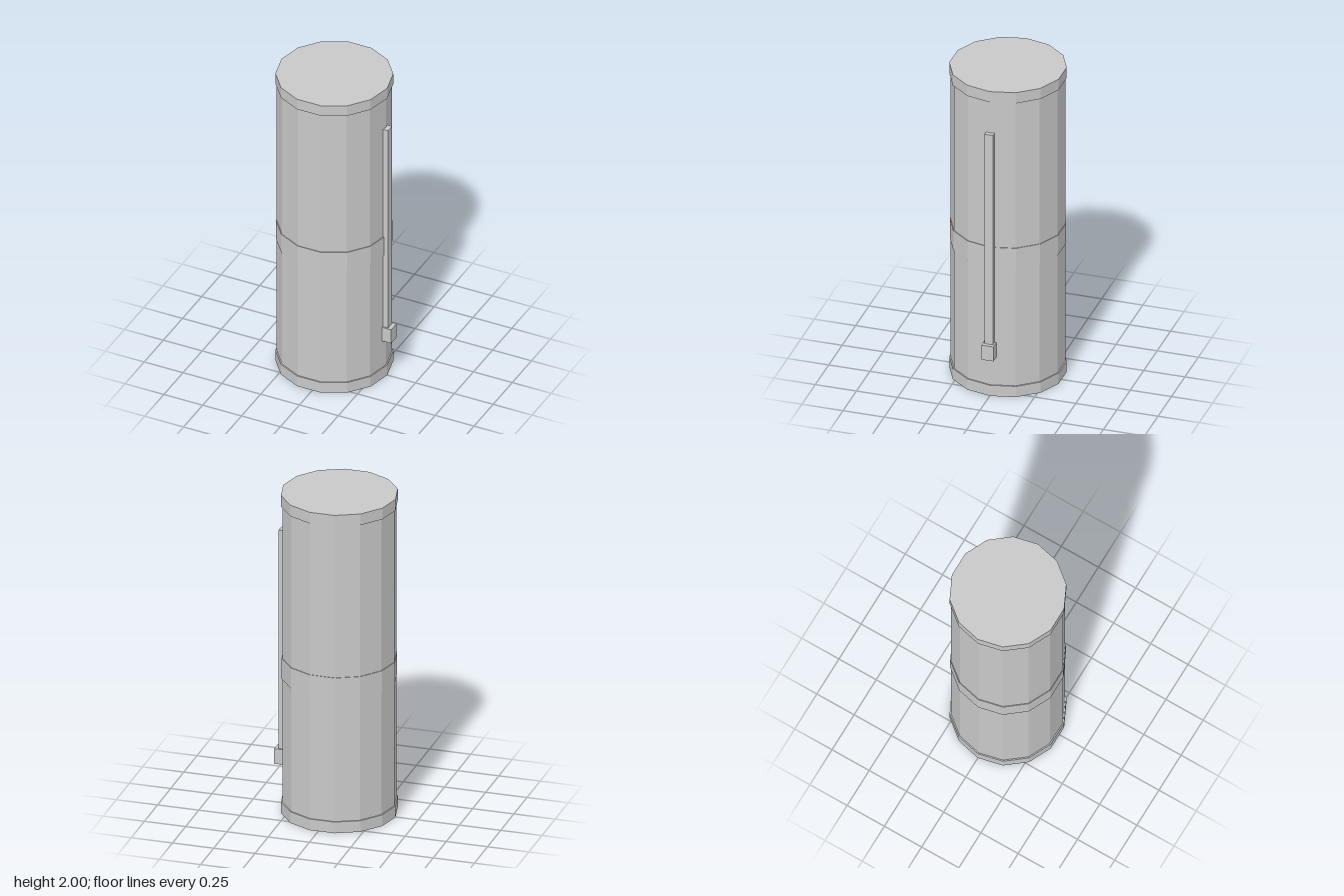
import * as THREE from 'three';

const SIDES = 14;
const CENTER_X = -0.0225;

export function createModel() {
  const group = new THREE.Group();
  const grey = new THREE.MeshStandardMaterial({ color: 0xc8c8c8, flatShading: true });
  grey.name = 'light grey';

  const add = (name, geometry, x, y, z = 0) => {
    const mesh = new THREE.Mesh(geometry, grey);
    mesh.name = name;
    mesh.position.set(x, y, z);
    group.add(mesh);
    return mesh;
  };

  // Upright faceted drum between two heights, with corners on the x axis
  const drum = (name, radius, y0, y1, open = false) => {
    const g = new THREE.CylinderGeometry(radius, radius, y1 - y0, SIDES, 1, open);
    g.rotateY(Math.PI / 2);
    return add(name, g, CENTER_X, (y0 + y1) / 2);
  };

  drum('body', 0.333, 0.07, 1.93);
  drum('middleBand', 0.337, 0.845, 0.975);
  drum('topCap', 0.3405, 1.93, 2);

  // Hollow foot rim, leaving the underside recessed
  const rimProfile = [[0.333, 0.07], [0.333, 0], [0.3405, 0], [0.3405, 0.07], [0.333, 0.07]]
    .map(([r, y]) => new THREE.Vector2(r, y));
  const rim = new THREE.LatheGeometry(rimProfile, SIDES);
  rim.rotateY(Math.PI / 2);
  add('footRim', rim, CENTER_X, 0);

  // Side strip and its end block, set slightly into the body
  const sideBox = (name, xOuter, y0, y1, width) => {
    const xInner = 0.295;
    add(name, new THREE.BoxGeometry(xOuter - xInner, y1 - y0, width),
      (xInner + xOuter) / 2, (y0 + y1) / 2);
  };
  sideBox('sideStrip', 0.337, 0.35, 1.725, 0.052);
  sideBox('stripEndBlock', 0.361, 0.255, 0.35, 0.072);

  return group;
}
